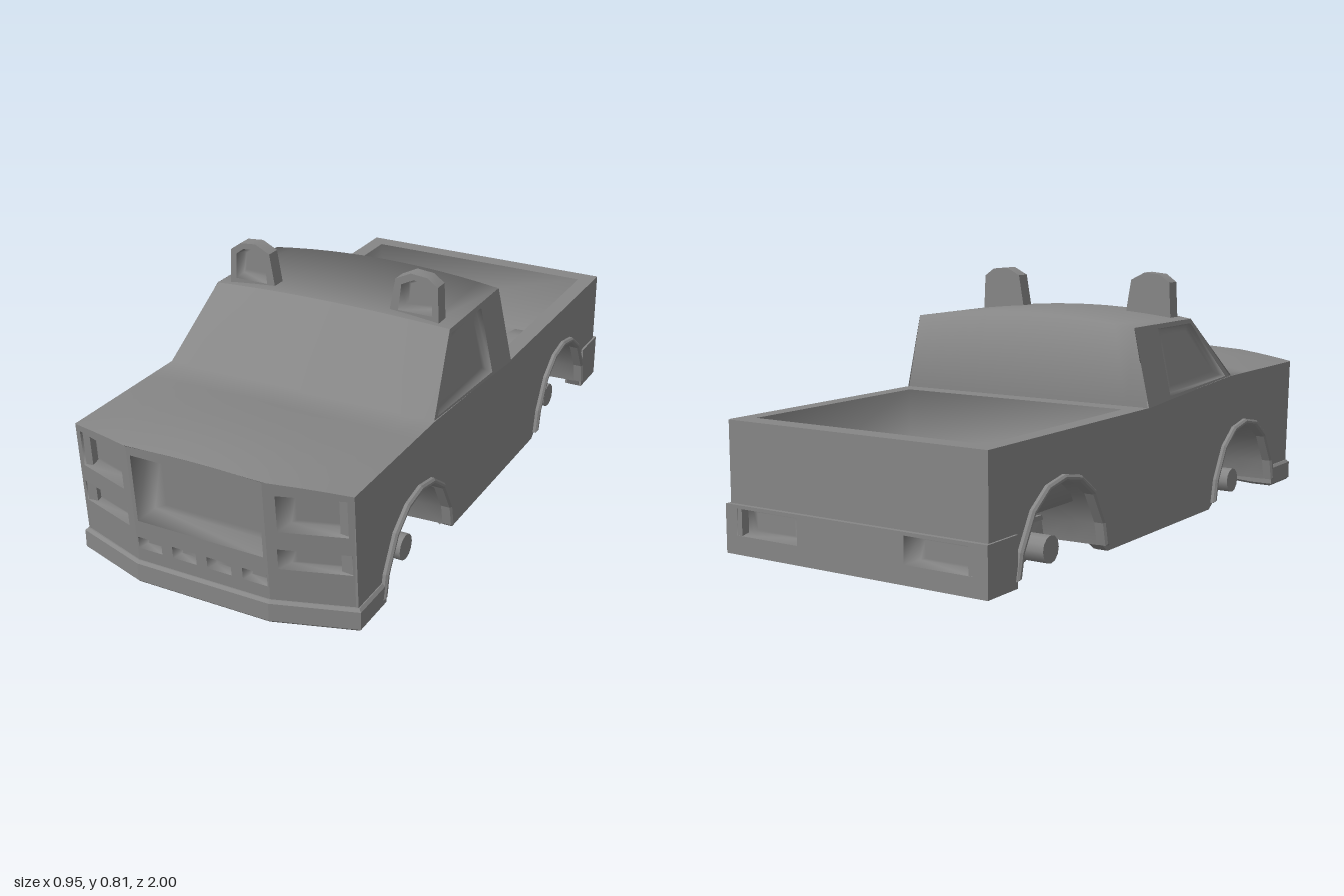
import * as THREE from 'three';
import { mergeGeometries, toCreasedNormals } from 'three/addons/utils/BufferGeometryUtils.js';

const solid = new THREE.MeshStandardMaterial({ color: 0x868686 });
const sheet = new THREE.MeshStandardMaterial({ color: 0x868686, side: THREE.DoubleSide });
const W = 0.457; // half width of the body

// Smooth surface through rows of [x, y, z] points
function grid(rows, crease = Math.PI) {
  const n = rows[0].length, index = [];
  for (let r = 0; r < rows.length - 1; r++) {
    for (let c = 0; c < n - 1; c++) {
      const a = r * n + c, b = a + n;
      index.push(a, b, a + 1, b, b + 1, a + 1);
    }
  }
  const g = new THREE.BufferGeometry();
  g.setAttribute('position', new THREE.Float32BufferAttribute(rows.flat(2), 3));
  g.setIndex(index);
  return toCreasedNormals(g, crease);
}

const shapeOf = (pts) => new THREE.Shape(pts.map((p) => new THREE.Vector2(...p)));
const rect = (x0, x1, y0, y1) => [[x0, y0], [x1, y0], [x1, y1], [x0, y1]];

// Side profile in (z, y), extruded from x0 to x1
function extrudeX(pts, x0, x1, bevel = 0) {
  const g = new THREE.ExtrudeGeometry(shapeOf(pts), {
    depth: x1 - x0 - 2 * bevel, bevelEnabled: bevel > 0, bevelSize: bevel, bevelThickness: bevel, bevelOffset: -bevel, bevelSegments: 1,
  });
  return g.rotateY(-Math.PI / 2).translate(x1 - bevel, 0, 0);
}

// Panel with sunken pockets; map(u, v, depth) places it in space, facing the way dir points
function pocketPanel(outline, pockets, map, dir) {
  const shape = shapeOf(outline);
  const parts = [];
  for (const { pts, shrink, depth } of pockets) {
    shape.holes.push(new THREE.Path(pts.map((p) => new THREE.Vector2(...p))));
    const cu = pts.reduce((s, p) => s + p[0], 0) / pts.length;
    const cv = pts.reduce((s, p) => s + p[1], 0) / pts.length;
    const loop = [...pts, pts[0]];
    const ring = (k, d) => loop.map(([u, v]) => map(cu + (u - cu) * k, cv + (v - cv) * k, d));
    parts.push(grid([ring(1, 0), ring(shrink, depth), ring(shrink * 0.8, depth), ring(0, depth)]));
  }
  const face = new THREE.ShapeGeometry(shape).toNonIndexed();
  const p = face.attributes.position;
  for (let i = 0; i < p.count; i++) p.setXYZ(i, ...map(p.getX(i), p.getY(i), 0));
  face.computeVertexNormals();
  const all = [face, ...parts];
  for (const g of all) {
    g.deleteAttribute('uv');
    // Turn triangles round when they face away from dir
    const n = g.attributes.normal, pos = g.attributes.position;
    let facing = 0;
    for (let i = 0; i < n.count; i++) facing += n.getX(i) * dir[0] + n.getY(i) * dir[1] + n.getZ(i) * dir[2];
    if (facing >= 0) continue;
    for (let i = 0; i < n.count; i++) n.setXYZ(i, -n.getX(i), -n.getY(i), -n.getZ(i));
    for (const attr of [pos, n]) {
      for (let i = 0; i < attr.count; i += 3) {
        const b = [attr.getX(i + 1), attr.getY(i + 1), attr.getZ(i + 1)];
        attr.setXYZ(i + 1, attr.getX(i + 2), attr.getY(i + 2), attr.getZ(i + 2));
        attr.setXYZ(i + 2, ...b);
      }
    }
  }
  return mergeGeometries(all);
}

export function createModel() {
  const model = new THREE.Group();
  const add = (name, geometry, material = solid) => {
    const m = new THREE.Mesh(geometry, material);
    m.name = name;
    model.add(m);
  };
  const box = (name, x0, x1, y0, y1, z0, z1) =>
    add(name, new THREE.BoxGeometry(x1 - x0, y1 - y0, z1 - z0).translate((x0 + x1) / 2, (y0 + y1) / 2, (z0 + z1) / 2));

  const bow = (x) => 1 - (x / W) ** 2;
  const frontZ = (x, y) => 1 - Math.max(0, Math.abs(x) - 0.22) * 0.33 - (0.48 - y) * 0.07;
  const xs = Array.from({ length: 13 }, (_, i) => -W + (2 * W * i) / 12);
  const noseY = (x) => 0.458 + 0.028 * bow(x);

  // Windshield flowing into the hood
  const roofRow = (z) => xs.map((x) => [x * 0.892, 0.662 + 0.028 * bow(x), z(x)]);
  const roofFront = roofRow((x) => 0.225 + 0.035 * bow(x));
  const baseZ = (x) => 0.43 + 0.03 * bow(x);
  const hoodRows = [[0, 0.016], [0.25, 0.03], [0.55, 0.045], [0.85, 0.042], [1, 0.028]].map(([t, crown]) =>
    xs.map((x) => [x, 0.458 + crown * bow(x), baseZ(x) + t * (frontZ(x, 0.48) - baseZ(x))]));
  add('windshieldAndHood', grid([roofFront, ...hoodRows]), sheet);

  // Roof and rear wall of the cab
  add('cabRoof', grid([xs.map((x) => [x, 0.42, -0.146]), roofRow(() => -0.145), roofFront]), sheet);

  // Nose: grille with air slots in the middle, lamps on each side
  const nose = (u, v, d) => [u, v, frontZ(u, v) - d];
  const slots = [-0.175, -0.058, 0.058, 0.175].map((x) =>
    ({ pts: rect(x - 0.04, x + 0.04, 0.14, 0.178), shrink: 0.65, depth: 0.025 }));
  const topEdge = [0.22, 0.11, 0, -0.11, -0.22].map((x) => [x, noseY(x)]);
  add('grillePanel', pocketPanel([[-0.22, 0.09], [0.22, 0.09], ...topEdge],
    [{ pts: rect(-0.208, 0.208, 0.235, 0.453), shrink: 0.98, depth: 0.08 }, ...slots], nose, [0, 0, 1]), sheet);
  for (const s of [1, -1]) {
    add('lampPanel', pocketPanel([[s * 0.22, 0.09], [s * W, 0.09], [s * W, 0.458], [s * 0.34, noseY(0.34)], [s * 0.22, noseY(0.22)]], [
      { pts: rect(s * 0.252, s * 0.438, 0.325, 0.44), shrink: 0.8, depth: 0.04 },
      { pts: rect(s * 0.248, s * 0.445, 0.203, 0.268), shrink: 0.78, depth: 0.03 },
    ], nose, [0, 0, 1]), sheet);
  }

  // Front bumper and the tray behind it
  const half = [[0.22, 0.985], [0.468, 0.905], [0.468, 0.75], [0.39, 0.75], [0.27, 0.78]];
  const mirrored = half.map(([x, z]) => [-x, z]).reverse();
  const bumperShape = shapeOf([...half, ...mirrored].map(([x, z]) => [x, -z]));
  add('frontBumper', new THREE.ExtrudeGeometry(bumperShape, {
    depth: 0.056, bevelEnabled: true, bevelSize: 0.008, bevelThickness: 0.008, bevelOffset: -0.008, bevelSegments: 1,
  }).rotateX(-Math.PI / 2).translate(0, 0.034, 0));

  // Wheel arch curve from front to back, [z, y] relative to the axle
  const arch = [[0.22, 0.05], [0.205, 0.12], [0.15, 0.215], [0.08, 0.265], [0, 0.28],
    [-0.08, 0.265], [-0.15, 0.215], [-0.205, 0.12], [-0.22, 0.05]];
  const archAt = (cz, k = 1) => arch.map(([z, y]) => [cz + z * k, 0.07 + (y - 0.07) * k]);
  const frontAxle = 0.53, rearAxle = -0.63;

  // Body sides with both arches cut out
  const sideProfile = [[0.895, 0.05], [0.75, 0.05], ...archAt(frontAxle), [0.28, 0.028], [-0.38, 0.028],
    ...archAt(rearAxle), [-0.86, 0.028], [-0.985, 0.028], [-0.985, 0.42], [-0.145, 0.42], [0, 0.43], [0.43, 0.457], [0.92, 0.457]];
  for (const s of [1, -1]) {
    const span = (a, b) => (s > 0 ? [a, b] : [-b, -a]);
    add('bodySide', extrudeX(sideProfile, ...span(0.41, W)));

    for (const cz of [frontAxle, rearAxle]) {
      // Flared lip round the arch
      add('archLip', extrudeX([...archAt(cz), ...archAt(cz, 1.09).reverse()], ...span(0.435, 0.473), 0.006));
      // Wheel well closing in on the axle housing
      add('wheelWell', grid([[0.44, 0.985], [0.36, 0.96], [0.265, 0.92]].map(([x, k]) =>
        archAt(cz, k).map(([z, y]) => [s * x, y, z]))), sheet);
      // Axle housing reaching the ground line, lower towards the middle
      const loop = [...archAt(cz, 0.95), [cz - 0.075, 0], [cz + 0.1, 0]];
      loop.push(loop[0]);
      const ring = (x, k, top = 1) => loop.map(([z, y]) => [s * x, Math.min(top, 0.08 + (y - 0.08) * k), cz + (z - cz) * k]);
      add('axleHousing', grid([ring(0.04, 0), ring(0.07, 0.97, 0.15), ring(0.1, 1, 0.16), ring(0.23, 1, 0.17),
        ring(0.265, 1), ring(0.2, 0.1)]), sheet);
      // Axle stub
      add('axleStub', new THREE.CylinderGeometry(0.041, 0.041, 0.22, 12).rotateZ(Math.PI / 2).translate(s * 0.31, 0.08, cz));
    }

    // Wheel hump inside the load bed
    add('bedHump', grid([[0.408, 1.05], [0.25, 1.04], [0.2, 0.8], [0.2, 0]].map(([x, k]) =>
      archAt(rearAxle, k).map(([z, y]) => [s * x, y, z]))), sheet);

    // Cab side with sunken window
    add('cabSide', pocketPanel([[0.43, 0.455], [0.225, 0.662], [-0.145, 0.662], [-0.145, 0.42], [0, 0.43]],
      [{ pts: [[0.395, 0.46], [0.218, 0.648], [0, 0.648], [0, 0.44]], shrink: 0.94, depth: 0.015 }],
      (z, y, d) => [s * (W - (y - 0.44) * 0.22 - d), y, z], [s, 0, 0]), sheet);

    // Roof lamp housing, hollow at the front
    const lamp = [[0.198, 0.66], [0.22, 0.785], [0.27, 0.81], [0.325, 0.805], [0.36, 0.78], [0.366, 0.66]].map(([x, y]) => [s * x, y]);
    const lens = [[0.23, 0.685], [0.24, 0.77], [0.28, 0.79], [0.315, 0.787], [0.34, 0.768], [0.344, 0.685]].map(([x, y]) => [s * x, y]);
    add('roofLampFront', pocketPanel(lamp, [{ pts: lens, shrink: 0.85, depth: 0.035 }], (x, y, d) => [x, y, 0.213 - d], [0, 0, 1]), sheet);
    const rim = (k, z) => [...lamp, lamp[0]].map(([x, y]) => [s * 0.285 + (x - s * 0.285) * k, 0.74 + (y - 0.74) * k, z]);
    add('roofLampShell', grid([rim(1, 0.213), rim(1, 0.165), rim(0, 0.165)], 0.9), sheet);
  }

  // Load bed: rim, smooth tub and end walls
  add('loadBed', pocketPanel(rect(-W, W, -0.985, -0.146), [{ pts: rect(-0.405, 0.405, -0.925, -0.21), shrink: 0.97, depth: 0.235 }],
    (x, z, d) => [x, 0.421 - d, z], [0, 1, 0]), sheet);
  box('bedFrontWall', -0.41, 0.41, 0.1, 0.42, -0.205, -0.15);
  box('tailgate', -W, W, 0.17, 0.42, -0.985, -0.93);

  // Rear bumper with lamp pockets
  add('rearBumperFace', pocketPanel(rect(-0.464, 0.464, 0.028, 0.175), [1, -1].map((s) =>
    ({ pts: rect(s * 0.19, s * 0.42, 0.085, 0.165), shrink: 0.78, depth: 0.04 })), (x, y, d) => [x, y, d - 1], [0, 0, -1]), sheet);
  box('rearBumperTop', -0.464, 0.464, 0.165, 0.175, -0.999, -0.93);
  box('rearBumperBottom', -0.464, 0.464, 0.028, 0.05, -0.999, -0.91);
  for (const s of [1, -1]) {
    box('rearBumperEnd', s * 0.433 - 0.031, s * 0.433 + 0.031, 0.028, 0.175, -0.999, -0.86);
  }

  // Underside: floor pan dished between the sills
  box('floorPan', -0.27, 0.27, 0.11, 0.125, -0.95, 0.92);
  const dish = [[-0.42, 0.03], [-0.37, 0.06], [-0.3, 0.105], [0.3, 0.105], [0.37, 0.06], [0.42, 0.03]];
  add('cabinFloor', grid([0.29, -0.39].map((z) => dish.map(([x, y]) => [x, y, z]))), sheet);
  add('gearboxCover', toCreasedNormals(new THREE.CylinderGeometry(0.22, 0.053, 0.085, 10), 0.7).translate(0, 0.0625, -0.085));

  return model;
}
